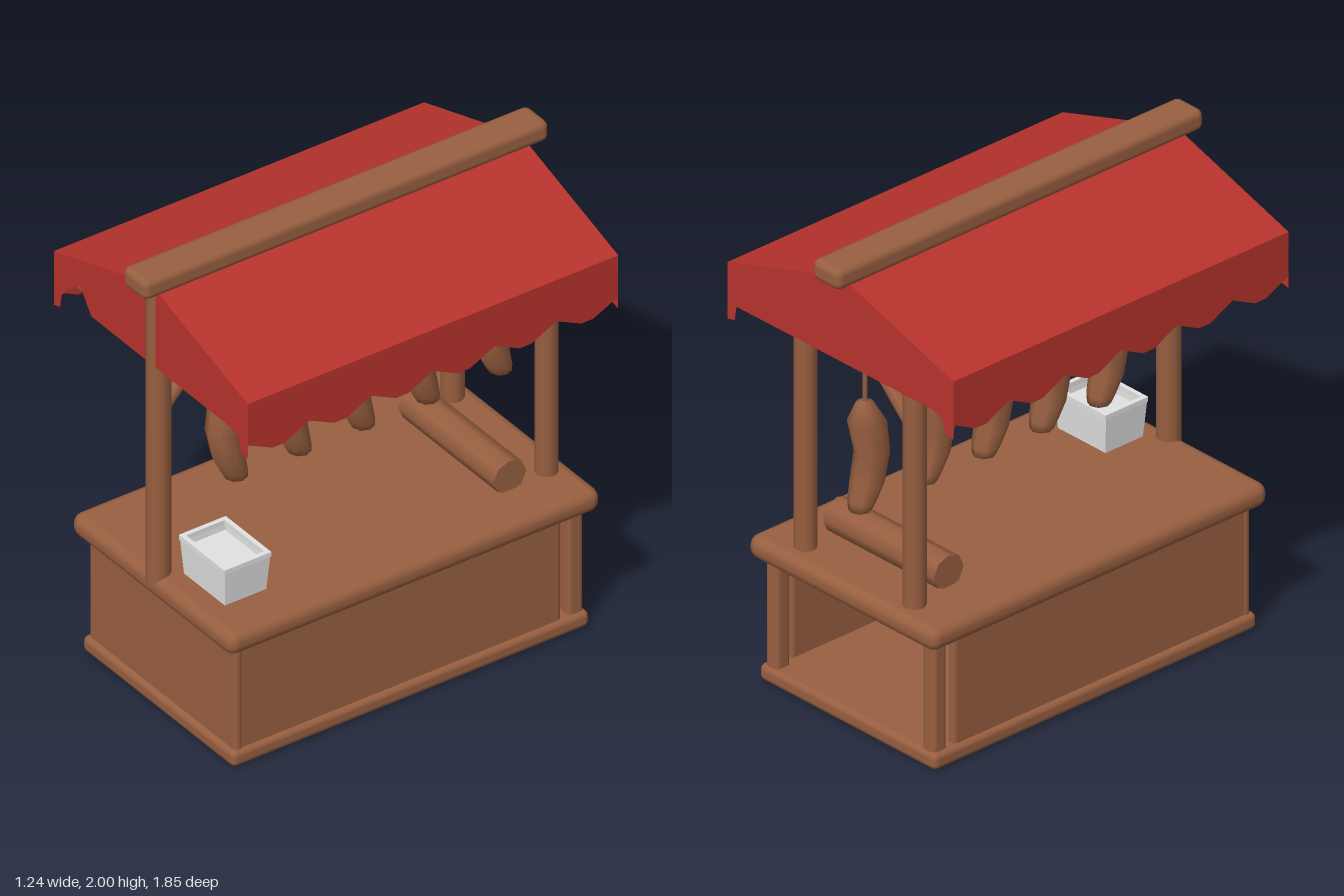
import * as THREE from 'three';
import { RoundedBoxGeometry } from 'three/addons/geometries/RoundedBoxGeometry.js';

export function createModel() {
  const root = new THREE.Group();
  const material = (name, color, side = THREE.FrontSide) => {
    const m = new THREE.MeshStandardMaterial({ color, side });
    m.name = name;
    return m;
  };
  const wood = material('brown wood', 0x985f40);
  const cloth = material('red cloth', 0xb8332d, THREE.DoubleSide);
  const white = material('white enamel', 0xe2e2e2, THREE.DoubleSide);

  const add = (name, geometry, mat, x = 0, y = 0, z = 0) => {
    const mesh = new THREE.Mesh(geometry, mat);
    mesh.name = name;
    mesh.position.set(x, y, z);
    root.add(mesh);
    return mesh;
  };
  const block = (name, w, h, d, x, y, z, r = 0.02) =>
    add(name, new RoundedBoxGeometry(w, h, d, 2, r), wood, x, y, z);
  // round timber between two points
  const pole = (name, a, b, r, sides = 10) => {
    const from = new THREE.Vector3(...a), to = new THREE.Vector3(...b);
    const dir = to.clone().sub(from);
    const mesh = add(name, new THREE.CylinderGeometry(r, r, dir.length(), sides), wood);
    mesh.position.copy(from).lerp(to, 0.5);
    mesh.quaternion.setFromUnitVectors(new THREE.Vector3(0, 1, 0), dir.normalize());
    return mesh;
  };

  // counter: base, panels, open back with corner posts, worktop
  block('base', 0.97, 0.07, 1.63, 0, 0.035, 0, 0.025);
  block('frontPanel', 0.94, 0.5, 0.04, 0, 0.29, 0.775);
  for (const s of [-1, 1]) {
    block('sidePanel', 0.04, 0.5, 1.49, s * 0.445, 0.29, 0.045);
    block('cornerPost', 0.07, 0.5, 0.07, s * 0.43, 0.29, -0.765);
  }
  block('worktop', 1.03, 0.1, 1.7, 0, 0.57, 0, 0.045);

  // posts, beams and braces
  pole('frontPost', [0, 0.58, 0.81], [0, 1.93, 0.81], 0.048);
  pole('backPost', [-0.305, 0.58, -0.75], [-0.305, 1.66, -0.75], 0.045);
  pole('backPost', [0.295, 0.58, -0.75], [0.295, 1.66, -0.75], 0.045);
  pole('frontCrossBeam', [-0.52, 1.62, 0.78], [0.52, 1.62, 0.78], 0.035);
  pole('backCrossBeam', [-0.52, 1.62, -0.75], [0.52, 1.62, -0.75], 0.04);
  pole('hangingBeam', [0, 1.62, 0.8], [0, 1.62, -0.78], 0.035);
  pole('frontBrace', [0, 1.36, 0.79], [0, 1.62, 0.54], 0.03, 8);
  pole('backBrace', [-0.3, 1.37, -0.75], [-0.04, 1.62, -0.75], 0.03, 8);
  block('ridgeBeam', 0.15, 0.09, 1.85, 0, 1.955, 0, 0.03);

  // awning: two slopes, scalloped valances and gable ends
  const eaveX = 0.62, eaveY = 1.73, ridgeY = 1.925, halfZ = 0.845;
  for (const s of [-1, 1]) {
    const slope = new THREE.PlaneGeometry(1, 2 * halfZ, 4, 4);
    slope.rotateX(-Math.PI / 2);
    const p = slope.attributes.position;
    for (let i = 0; i < p.count; i++) {
      const t = p.getX(i) + 0.5;
      const u = s > 0 ? t : 1 - t;
      p.setXYZ(i, s * u * eaveX, ridgeY + (eaveY - ridgeY) * u, p.getZ(i));
    }
    slope.computeVertexNormals();
    add('awningSlope', slope, cloth);

    const edge = new THREE.Shape();
    edge.moveTo(-halfZ, eaveY);
    edge.lineTo(-halfZ, 1.545);
    const n = 6, step = 2 * halfZ / n;
    for (let i = 0; i < n; i++) {
      const z = -halfZ + i * step;
      edge.lineTo(z + step * 0.4, 1.49);
      edge.lineTo(z + step * 0.6, 1.49);
      edge.lineTo(z + step, 1.545);
    }
    edge.lineTo(halfZ, eaveY);
    const valance = new THREE.ShapeGeometry(edge);
    valance.rotateY(s * Math.PI / 2);
    add('valance', valance, cloth, s * eaveX);
  }
  const gable = (torn) => {
    const outline = [[0, ridgeY], [-eaveX, eaveY], [-eaveX, 1.49], [-0.58, 1.5], [-0.57, 1.56]];
    if (torn) outline.push([-0.53, 1.61], [-0.45, 1.665], [-0.38, 1.57]);
    outline.push([0.5, 1.565], [0.56, 1.55], [0.58, 1.49], [eaveX, 1.485], [eaveX, eaveY]);
    return new THREE.ShapeGeometry(new THREE.Shape(outline.map(([x, y]) => new THREE.Vector2(x, y))));
  };
  add('frontGable', gable(true), cloth, 0, 0, halfZ);
  add('backGable', gable(false).rotateY(Math.PI), cloth, 0, 0, -halfZ);

  // hanging cuts of meat: a lathe bent sideways ring by ring [radius, y, shift]
  const rings = [[0, 0.895, -0.03], [0.045, 0.905, -0.025], [0.055, 0.94, -0.015], [0.066, 1.01, 0.01],
    [0.068, 1.13, 0.035], [0.075, 1.27, 0.01], [0.035, 1.35, 0], [0, 1.36, 0]];
  const meat = new THREE.LatheGeometry(rings.map(([r, y]) => new THREE.Vector2(r, y)), 8);
  const mp = meat.attributes.position;
  for (let i = 0; i < mp.count; i++) mp.setZ(i, mp.getZ(i) + rings[i % rings.length][2]);
  meat.computeVertexNormals();
  for (const z of [0.475, 0.185, -0.105, -0.4, -0.73]) {
    add('hangingMeat', meat, wood, -0.01, 0, z);
    pole('meatString', [-0.01, 1.34, z], [-0.01, 1.62, z], 0.01, 6);
  }

  // roll lying on the worktop
  const roll = pole('roll', [-0.29, 0.68, -0.565], [0.32, 0.68, -0.565], 0.075, 8);
  roll.scale.set(0.95, 1, 1);

  // open tapered tub, with its contents level just below the rim
  const tub = new THREE.Group();
  tub.name = 'tub';
  const wall = new THREE.CylinderGeometry(Math.SQRT1_2, Math.SQRT1_2 * 0.9, 0.17, 4, 1, true);
  wall.rotateY(Math.PI / 4);
  const walls = new THREE.Mesh(wall.toNonIndexed(), white);
  walls.geometry.computeVertexNormals();
  walls.scale.set(0.29, 1, 0.21);
  walls.name = 'tubWalls';
  const inside = new THREE.Mesh(new THREE.BoxGeometry(0.265, 0.01, 0.19), white);
  inside.position.y = 0.03;
  inside.name = 'tubInside';
  tub.add(walls, inside);
  for (const s of [-1, 1]) {
    const long = new THREE.Mesh(new THREE.BoxGeometry(0.29, 0.02, 0.02), white);
    long.position.set(0, 0.075, s * 0.097);
    const short = new THREE.Mesh(new THREE.BoxGeometry(0.02, 0.02, 0.21), white);
    short.position.set(s * 0.136, 0.075, 0);
    long.name = short.name = 'tubRim';
    tub.add(long, short);
  }
  tub.position.set(0.195, 0.705, 0.645);
  root.add(tub);

  return root;
}
